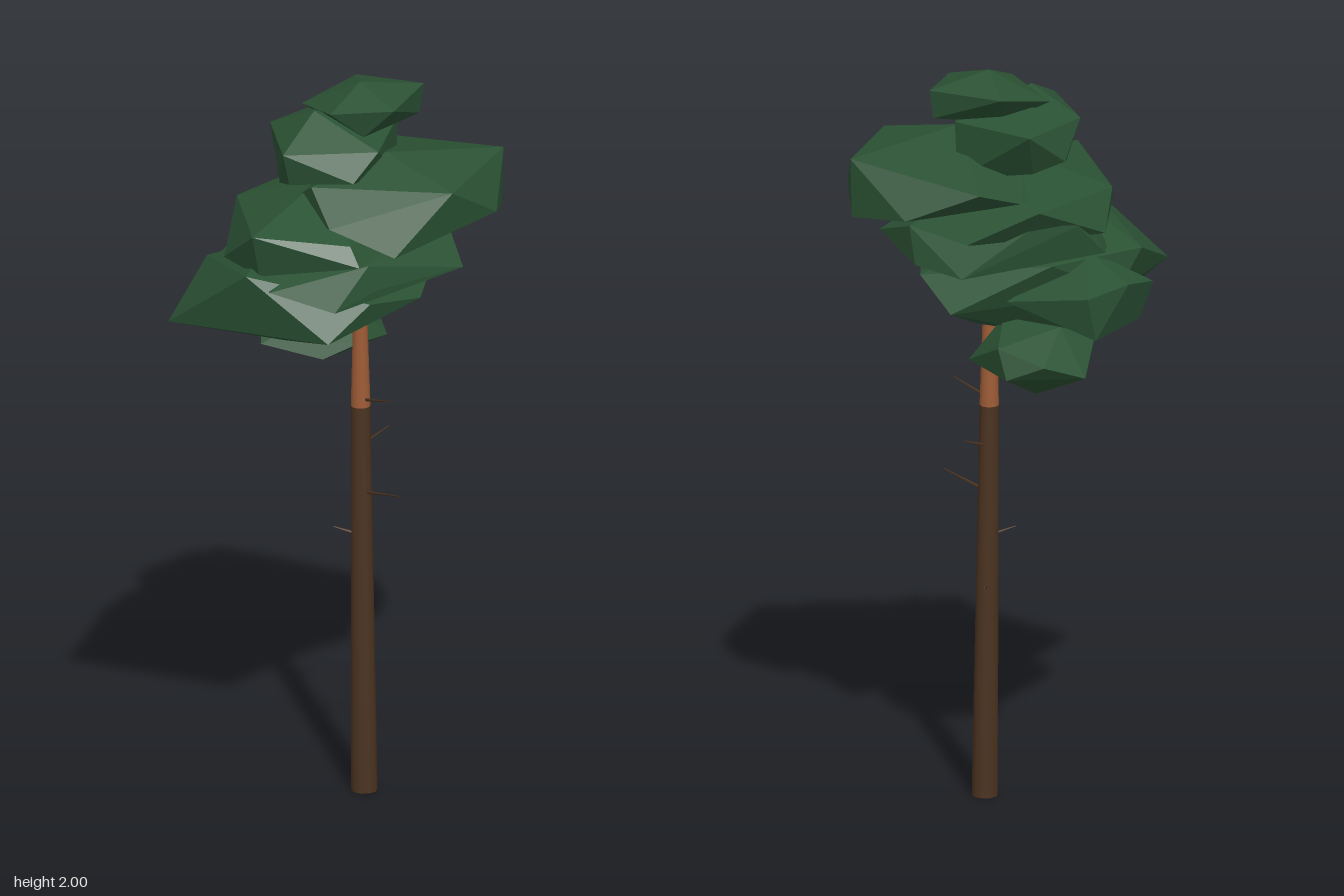
import * as THREE from 'three';
import { ConvexGeometry } from 'three/addons/geometries/ConvexGeometry.js';

const mat = (name, color, flatShading = false) => {
  const m = new THREE.MeshStandardMaterial({ color, flatShading });
  m.name = name;
  return m;
};

export function createModel() {
  const group = new THREE.Group();
  const needles = mat('needleGreen', 0x2b5234, true);
  const bark = mat('darkBark', 0x4b3320);
  const upperBark = mat('orangeBark', 0x9e5c36);

  // Tapered round limb between two points
  function limb(name, from, to, r0, r1, material, sides) {
    const a = new THREE.Vector3(...from), b = new THREE.Vector3(...to);
    const dir = b.clone().sub(a);
    const mesh = new THREE.Mesh(new THREE.CylinderGeometry(r1, r0, dir.length(), sides), material);
    mesh.name = name;
    mesh.position.copy(a).add(b).multiplyScalar(0.5);
    mesh.quaternion.setFromUnitVectors(new THREE.Vector3(0, 1, 0), dir.normalize());
    group.add(mesh);
  }

  // Faceted foliage clump spanning a few corner points
  function clump(name, ...corners) {
    const mesh = new THREE.Mesh(new ConvexGeometry(corners.map(c => new THREE.Vector3(...c))), needles);
    mesh.name = name;
    group.add(mesh);
  }

  // Slightly leaning trunk, dark below and orange above
  limb('lowerTrunk', [0.027, 0, -0.099], [0.01, 1.08, -0.1], 0.035, 0.026, bark, 10);
  limb('upperTrunk', [0.01, 1.08, -0.1], [0.008, 1.36, -0.1], 0.026, 0.018, upperBark, 10);
  limb('trunkTip', [0.008, 1.36, -0.1], [0.02, 1.85, -0.1], 0.018, 0.006, upperBark, 8);

  // Bare dead twigs
  const twigs = [
    [[0.02, 1.1, -0.1], [0.14, 1.13, -0.1]],
    [[0.02, 0.84, -0.1], [0.17, 0.87, -0.105]],
    [[0.01, 0.97, -0.11], [0.01, 1.0, -0.195]],
    [[0.01, 0.72, -0.09], [-0.03, 0.74, -0.04]],
    [[0.01, 0.58, -0.11], [-0.06, 0.61, -0.19]],
  ];
  twigs.forEach(([a, b], i) => limb('twig' + (i + 1), a, b, 0.005, 0.0015, bark, 5));

  // Crown, from the top down
  clump('crownTop',
    [0.02, 2, -0.09], [-0.11, 1.96, -0.18], [-0.115, 1.92, 0], [0.07, 1.97, -0.265], [0.07, 1.89, -0.25],
    [0.165, 1.96, -0.09], [0.06, 1.95, 0.04], [0.1, 1.88, -0.04], [-0.04, 1.87, -0.1]);

  clump('upperClump',
    [-0.01, 1.94, 0.04], [-0.195, 1.87, -0.16], [-0.2, 1.78, -0.03], [-0.16, 1.87, 0.07], [0.055, 1.87, 0.195],
    [0.05, 1.78, 0.17], [0.17, 1.79, 0.05], [0.15, 1.85, -0.05], [-0.08, 1.73, 0.1], [-0.15, 1.75, -0.1],
    [0.03, 1.72, -0.2], [0.03, 1.88, -0.21]);

  clump('backClump',
    [0.12, 1.83, -0.1], [0.2, 1.79, -0.43], [0, 1.66, -0.43], [0.2, 1.63, -0.425], [0.335, 1.68, -0.3],
    [0.365, 1.78, -0.13], [0.36, 1.64, 0.06], [0.19, 1.69, 0.145], [0.08, 1.77, 0.12], [-0.165, 1.74, -0.32],
    [-0.2, 1.7, -0.2], [-0.1, 1.66, 0.08], [0.1, 1.59, -0.12]);

  clump('middleClump',
    [0, 1.76, 0], [-0.25, 1.68, -0.18], [-0.27, 1.58, 0.05], [-0.2, 1.67, 0.15], [-0.05, 1.58, 0.31],
    [0.11, 1.69, 0.34], [0.1, 1.57, 0.31], [0.26, 1.66, 0.13], [0.3, 1.61, 0.13], [-0.13, 1.6, -0.33],
    [0.08, 1.61, -0.33], [0.02, 1.5, 0]);

  clump('middleLowerClump',
    [0.315, 1.51, 0.225], [0.31, 1.54, 0.08], [0.3, 1.61, 0.1], [0.15, 1.54, 0.315], [-0.28, 1.53, 0.04],
    [-0.265, 1.62, -0.05], [-0.22, 1.64, -0.15], [-0.13, 1.51, -0.35], [0.295, 1.53, -0.22], [0.1, 1.6, -0.31],
    [0.05, 1.51, -0.34], [-0.1, 1.5, 0.24], [-0.05, 1.64, 0.15], [0.02, 1.43, -0.05]);

  clump('frontClump',
    [0, 1.6, 0.2], [0.1, 1.58, 0.355], [-0.135, 1.4, 0.43], [0.28, 1.41, 0.22], [0.28, 1.49, 0.08],
    [0.24, 1.45, -0.12], [-0.08, 1.4, -0.34], [0.07, 1.47, -0.3], [-0.25, 1.5, 0.21], [-0.25, 1.4, 0.12],
    [-0.12, 1.26, 0.05], [0, 1.32, -0.16], [-0.22, 1.51, -0.1]);

  clump('sideClump',
    [-0.365, 1.46, 0.04], [-0.36, 1.33, -0.08], [-0.36, 1.45, -0.11], [-0.32, 1.43, 0.18], [-0.3, 1.33, 0.15],
    [-0.24, 1.37, 0.22], [-0.2, 1.52, 0.05], [-0.15, 1.42, -0.2], [-0.1, 1.34, 0.1], [-0.2, 1.31, 0]);

  clump('lowestClump',
    [-0.37, 1.24, -0.13], [-0.32, 1.28, -0.235], [-0.235, 1.24, -0.29], [-0.2, 1.32, -0.285], [-0.18, 1.155, -0.12],
    [-0.25, 1.35, -0.1], [-0.28, 1.31, 0], [-0.2, 1.23, 0.07], [-0.05, 1.21, -0.02], [0.015, 1.26, -0.1],
    [-0.03, 1.24, -0.22], [-0.08, 1.35, -0.14]);

  return group;
}
